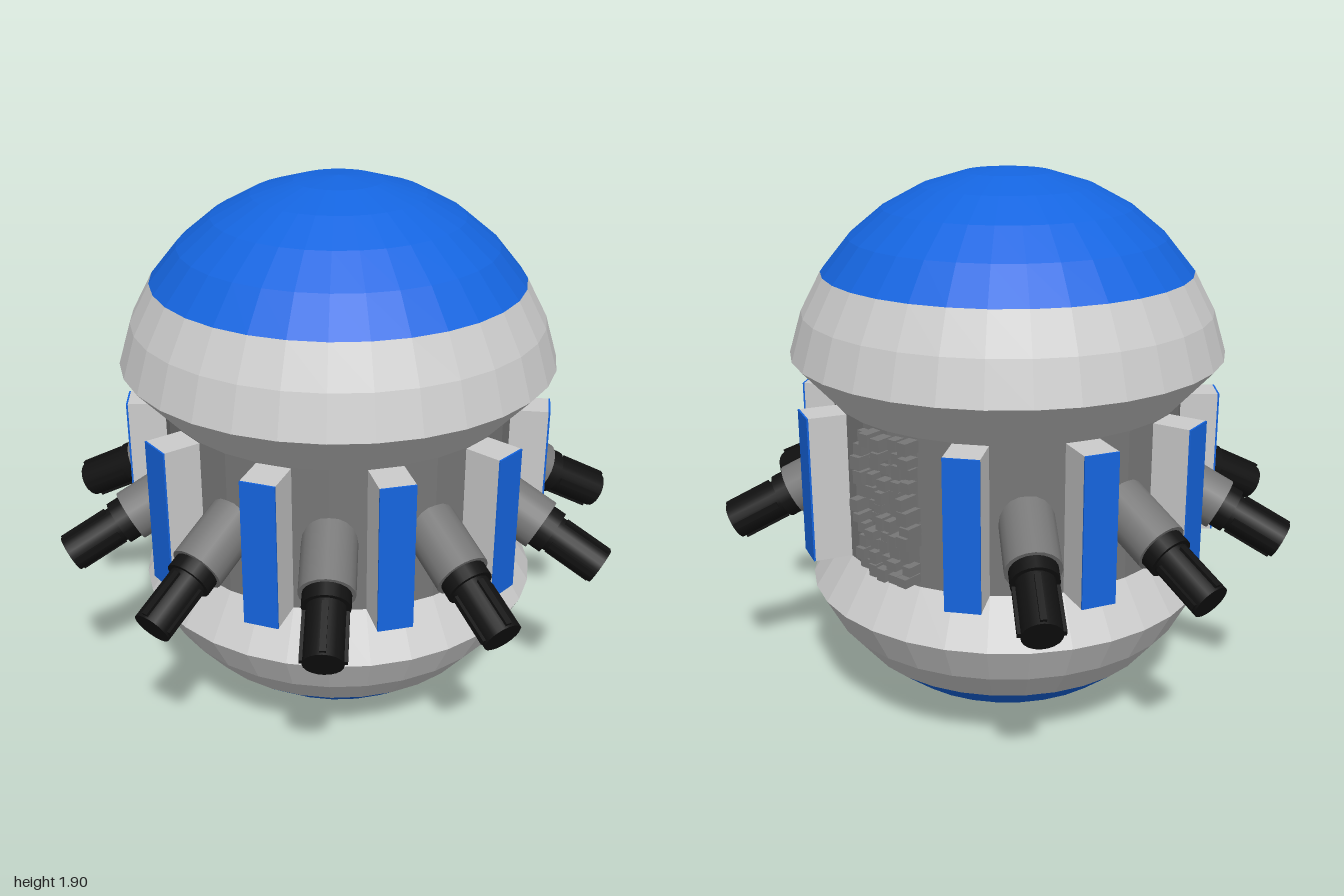
import * as THREE from 'three';

const RAD = Math.PI / 180;
const STEP = 33.75; // angle between neighbouring guns
const SPHERE = 0.76;
const WALL = 0.603;

const paint = (color, flatShading = false) => new THREE.MeshStandardMaterial({ color, flatShading });
const grey = paint(0xcccccc, true);
const darkGrey = paint(0x777777, true);
const sleeveGrey = paint(0x777777);
const blue = paint(0x1565e0, true);
const black = paint(0x111111);

function add(parent, name, geometry, material, x = 0, y = 0, z = 0) {
  const mesh = new THREE.Mesh(geometry, material);
  mesh.name = name;
  mesh.position.set(x, y, z);
  parent.add(mesh);
  return mesh;
}

function lathe(parent, name, points, material) {
  const profile = points.map(([r, y]) => new THREE.Vector2(r, y));
  return add(parent, name, new THREE.LatheGeometry(profile, 32), material);
}

// Points on a sphere, counted in steps of 11.25 degrees from its pole
function arc(from, to, centre, sign) {
  const points = [];
  for (let i = from; i !== to + Math.sign(to - from); i += Math.sign(to - from)) {
    const a = i * 11.25 * RAD;
    points.push([SPHERE * Math.sin(a), centre + sign * SPHERE * Math.cos(a)]);
  }
  return points;
}

// Cylinder lying along +z, from z0 to z1
function rod(r, z0, z1) {
  return new THREE.CylinderGeometry(r, r, z1 - z0, 20).rotateX(Math.PI / 2).translate(0, 0, (z0 + z1) / 2);
}

function createGun(angle) {
  const gun = new THREE.Group();
  gun.name = 'gun';
  gun.rotation.y = angle * RAD;
  const pivot = new THREE.Group();
  pivot.name = 'gunMount';
  pivot.position.set(0, 0.862, 0.6);
  pivot.rotation.x = 27 * RAD;
  gun.add(pivot);
  add(pivot, 'sleeve', rod(0.091, -0.12, 0.178), sleeveGrey);
  add(pivot, 'collar', rod(0.078, 0.17, 0.225), black);
  add(pivot, 'barrel', rod(0.064, 0.2, 0.417), black);
  // Cooling ribs along the barrel
  for (let i = 0; i < 4; i++) {
    const rib = add(pivot, 'barrelRib', new THREE.BoxGeometry(0.02, 0.025, 0.17).translate(0, 0.061, 0), black, 0, 0, 0.325);
    rib.rotation.z = i * Math.PI / 2;
  }
  return gun;
}

function createPanel(angle) {
  const panel = new THREE.Group();
  panel.name = 'panel';
  panel.rotation.y = angle * RAD;
  add(panel, 'panelBlock', new THREE.BoxGeometry(0.117, 0.505, 0.17), grey, 0, 0.875, 0.643);
  add(panel, 'panelFace', new THREE.BoxGeometry(0.117, 0.505, 0.006), blue, 0, 0.875, 0.731);
  return panel;
}

// Patch of small machinery blocks filling the gap in the ring
function createMachinery(angle) {
  const patch = new THREE.Group();
  patch.name = 'machinery';
  patch.rotation.y = angle * RAD;
  let seed = 7;
  const rand = () => (seed = (seed * 16807) % 2147483647) / 2147483647;
  const rows = 11, cols = 5;
  for (let r = 0; r < rows; r++) {
    for (let c = 0; c < cols; c++) {
      const depth = 0.04 + 0.045 * rand();
      const size = new THREE.BoxGeometry(0.024 + 0.018 * rand(), 0.028 + 0.018 * rand(), depth);
      const x = (c - (cols - 1) / 2) * 0.05 + (rand() - 0.5) * 0.012;
      const y = 0.65 + r * 0.045 + (rand() - 0.5) * 0.012;
      add(patch, 'machineryBlock', size, darkGrey, x, y, 0.58 + depth / 2);
    }
  }
  return patch;
}

export function createModel() {
  const model = new THREE.Group();
  model.name = 'sphereTurret';
  const body = new THREE.Group();
  body.name = 'body';
  body.position.z = -0.01;
  model.add(body);

  // Lower bowl, waist and upper dome
  lathe(body, 'lowerCap', arc(0, 4, SPHERE, -1), blue);
  lathe(body, 'lowerShell', [...arc(4, 6, SPHERE, -1), [WALL, 0.622]], grey);
  lathe(body, 'waist', [[WALL, 0.622], [WALL, 1.13]], darkGrey);
  lathe(body, 'upperShell', [[WALL, 1.13], ...arc(7, 5, 1.137, 1)], grey);
  lathe(body, 'upperCap', arc(5, 0, 1.137, 1), blue);

  // Ring of guns and panels, with one gap at the back left
  for (let i = -5; i <= 3; i++) body.add(createGun(i * STEP));
  for (let i = -6; i <= 3; i++) body.add(createPanel((i + 0.5) * STEP));
  body.add(createMachinery(146.25));

  return model;
}
